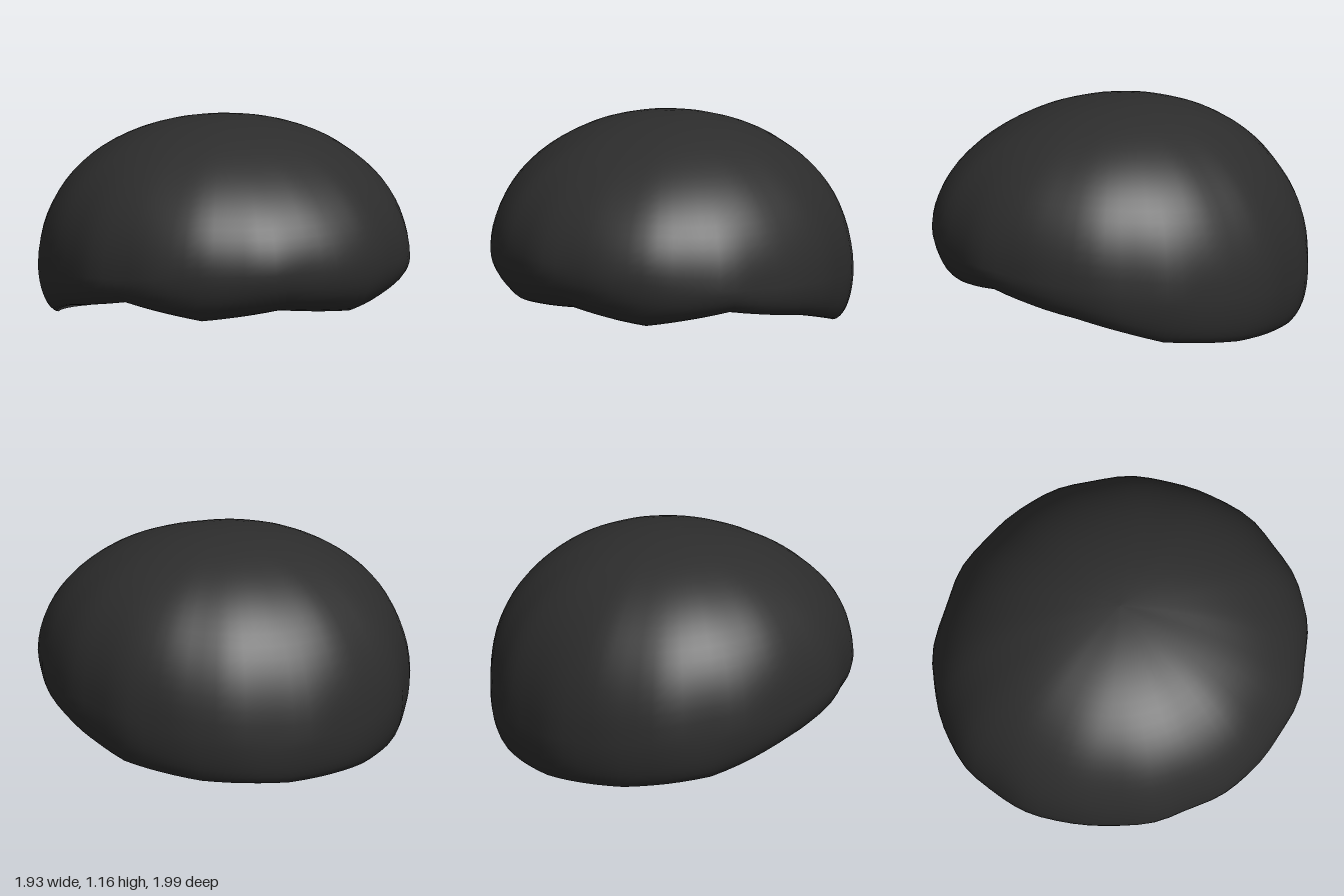
import * as THREE from 'three';

const SEG = 72;

// Values given every 30 degrees from the front to the back, the same on both sides
function around(table, a) {
  const t = Math.acos(Math.max(-1, Math.min(1, Math.cos(a)))) / Math.PI * (table.length - 1);
  const i = Math.min(table.length - 2, Math.floor(t));
  return THREE.MathUtils.lerp(table[i], table[i + 1], t - i);
}
const LIP_Y = [0.265, 0.22, 0.30, 0.21, 0.075, 0.02, 0];
const LIP_SCALE = [0.76, 0.81, 0.88, 0.9, 0.9, 0.91, 0.92];
const WIDE_Y = [0.5, 0.49, 0.44, 0.4, 0.35, 0.28, 0.25];
const ROUNDNESS = [1.07, 1.03, 0.97, 0.93, 0.93, 0.94, 0.94];
const TOP = 1.16;
const INNER_TOP = 1.07;

// Oval seen from above, slightly skewed toward the front left and back right
function point(a, scale, y) {
  const p = (v) => Math.sign(v) * Math.abs(v) ** 0.97;
  const s = scale * (1 + 0.02 * Math.sin(2 * a));
  return [0.965 * s * p(Math.sin(a)), y, 0.99 * s * p(Math.cos(a))];
}

// Soft swept locks, absent at the crown and strongest toward the sides
function locks(a, t) {
  return 1 + t * t * (0.006 * Math.sin(11 * a + 3 * t) + 0.004 * Math.sin(17 * a - 4 * t + 1));
}

// Outer dome, t = 0 at the crown to 1 at the widest ring
function dome(a, t) {
  const e = t * Math.PI / 2;
  const k = around(ROUNDNESS, a);
  const w = around(WIDE_Y, a);
  const l = locks(a, t);
  return point(a, Math.sin(e) ** k * l, w + (TOP - w) * Math.max(0, Math.cos(e)) ** k * l);
}

// Edge rolled under from the widest ring to the lip
function roll(a, t) {
  const e = t * Math.PI / 2;
  const w = around(WIDE_Y, a);
  const scale = 1 - (1 - around(LIP_SCALE, a)) * (1 - Math.cos(e));
  const l = 1 + (locks(a, 1) - 1) * (1 - t);
  return point(a, scale * l, w - (w - around(LIP_Y, a)) * Math.sin(e));
}

// Hollow for the head, from the lip up to the inner crown
function hollow(a, t) {
  const e = t * Math.PI / 2;
  const y = around(LIP_Y, a);
  const scale = around(LIP_SCALE, a) * Math.max(0, Math.cos(e)) ** 0.93;
  return point(a, scale, y + (INNER_TOP - y) * Math.sin(e) ** 0.93);
}

// Closed rings of vertices joined into a smooth skin
function skin(rings) {
  const pos = [], index = [];
  rings.forEach((ring) => {
    for (let i = 0; i < SEG; i++) pos.push(...ring(i / SEG * Math.PI * 2));
  });
  for (let r = 0; r < rings.length - 1; r++) {
    for (let i = 0; i < SEG; i++) {
      const j = (i + 1) % SEG;
      const a = r * SEG + i, b = r * SEG + j, c = a + SEG, d = b + SEG;
      index.push(a, c, b, b, c, d);
    }
  }
  const g = new THREE.BufferGeometry();
  g.setAttribute('position', new THREE.Float32BufferAttribute(pos, 3));
  g.setIndex(index);
  g.computeVertexNormals();
  return g;
}

const rows = (fn, n, from = 0) =>
  Array.from({ length: n + 1 - from }, (_, i) => (a) => fn(a, (i + from) / n));

export function createModel() {
  const group = new THREE.Group();
  group.name = 'hairCap';
  const charcoal = new THREE.MeshStandardMaterial({ color: 0x2d2d2d, side: THREE.DoubleSide });
  charcoal.name = 'charcoal';

  // Outer volume with its rolled edge
  const outer = new THREE.Mesh(skin([...rows(dome, 20), ...rows(roll, 8, 1)]), charcoal);
  outer.name = 'outerHair';

  // Inner lining, meeting the lip with a crisp edge
  const inner = new THREE.Mesh(skin(rows(hollow, 14)), charcoal);
  inner.name = 'innerLining';

  group.add(outer, inner);
  return group;
}
